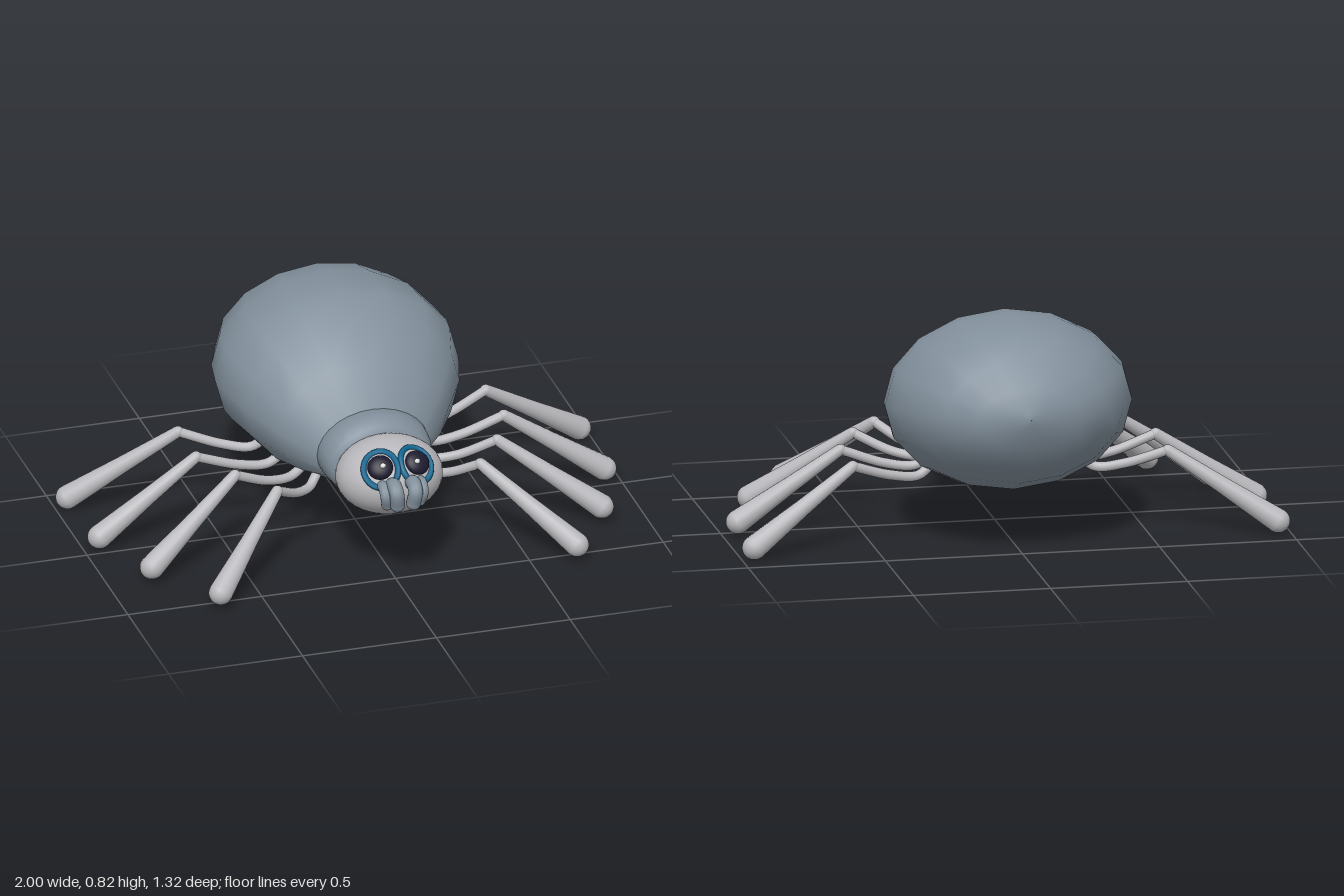
import * as THREE from 'three';

const mat = (name, color) => {
  const m = new THREE.MeshStandardMaterial({ color });
  m.name = name;
  return m;
};

const V = (x, y, z) => new THREE.Vector3(x, y, z);

// Closed body along z; each section is [z, bottom y, top y, half width]
function loft(sections, sides) {
  const pos = [], index = [];
  sections.forEach(([z, low, high, w]) => {
    for (let j = 0; j < sides; j++) {
      const a = (j / sides) * Math.PI * 2;
      pos.push(w * Math.cos(a), (low + high) / 2 + ((high - low) / 2) * Math.sin(a), z);
    }
  });
  for (let i = 0; i < sections.length - 1; i++) {
    for (let j = 0; j < sides; j++) {
      const k = (j + 1) % sides;
      const a = i * sides + j, b = i * sides + k, c = a + sides, d = b + sides;
      index.push(a, c, b, b, c, d);
    }
  }
  const g = new THREE.BufferGeometry();
  g.setAttribute('position', new THREE.Float32BufferAttribute(pos, 3));
  g.setIndex(index);
  g.computeVertexNormals();
  return g;
}

// Round-ended club from point a (radius ra) to point b (radius rb)
function club(a, b, ra, rb) {
  const len = a.distanceTo(b), pts = [];
  for (let i = 0; i <= 5; i++) {
    const t = -Math.PI / 2 + (i / 5) * Math.PI / 2;
    pts.push(new THREE.Vector2(ra * Math.cos(t), ra * Math.sin(t)));
  }
  pts.push(new THREE.Vector2(ra + (rb - ra) * 0.42, len * 0.5));
  for (let i = 0; i <= 6; i++) {
    const t = (i / 6) * Math.PI / 2;
    pts.push(new THREE.Vector2(rb * Math.cos(t), len + rb * Math.sin(t)));
  }
  const g = new THREE.LatheGeometry(pts, 16);
  const dir = b.clone().sub(a).normalize();
  g.applyQuaternion(new THREE.Quaternion().setFromUnitVectors(V(0, 1, 0), dir));
  return g.translate(a.x, a.y, a.z);
}

export function createModel() {
  const bodyGrey = mat('slate grey', 0x82909c);
  const paleGrey = mat('pale grey', 0xb9b9bd);
  const blue = mat('teal blue', 0x0d6590);
  const dark = mat('dark navy', 0x1c1a2e);
  const white = mat('white', 0xf4f4f6);

  const model = new THREE.Group();
  model.name = 'spider';
  const add = (parent, name, geometry, material) => {
    const mesh = new THREE.Mesh(geometry, material);
    mesh.name = name;
    parent.add(mesh);
    return mesh;
  };
  const ball = (parent, name, material, c, r, seg = 24) => {
    const mesh = add(parent, name, new THREE.SphereGeometry(1, seg, Math.round(seg * 0.7)), material);
    mesh.position.copy(c);
    mesh.scale.copy(r);
    return mesh;
  };

  // Abdomen
  add(model, 'abdomen', loft([
    [0.24, 0.38, 0.4, 0.01], [0.22, 0.255, 0.535, 0.21], [0.1, 0.21, 0.66, 0.315],
    [-0.03, 0.182, 0.78, 0.4], [-0.17, 0.178, 0.825, 0.44], [-0.24, 0.183, 0.826, 0.449],
    [-0.35, 0.203, 0.825, 0.43], [-0.47, 0.255, 0.8, 0.378], [-0.57, 0.33, 0.735, 0.3],
    [-0.635, 0.42, 0.645, 0.19], [-0.66, 0.515, 0.555, 0.02], [-0.661, 0.534, 0.536, 0.001],
  ], 16), bodyGrey);

  // Thorax collar
  add(model, 'thorax', loft([
    [0.35, 0.38, 0.39, 0.01], [0.345, 0.265, 0.485, 0.165], [0.32, 0.24, 0.52, 0.188],
    [0.28, 0.234, 0.543, 0.202], [0.22, 0.235, 0.543, 0.208], [0.15, 0.26, 0.52, 0.19],
    [0.1, 0.38, 0.39, 0.01],
  ], 28), bodyGrey);

  // Head
  const headC = V(0, 0.383, 0.42), headR = V(0.195, 0.138, 0.17);
  ball(model, 'head', paleGrey, headC, headR, 36);

  // Eyes: a rim following the head, a pupil and a glint
  const onHead = (p) => {
    const d = p.clone().sub(headC);
    return d.multiplyScalar(1 / d.clone().divide(headR).length()).add(headC);
  };
  for (const s of [1, -1]) {
    const eye = new THREE.Group();
    eye.name = s > 0 ? 'leftEye' : 'rightEye';
    model.add(eye);
    const rim = [];
    for (let i = 0; i < 28; i++) {
      const a = (s * i / 28) * Math.PI * 2;
      const u = 0.067 * Math.cos(a), v = 0.072 * Math.sin(a);
      rim.push(onHead(V(s * (0.073 + u * s), 0.462 + v * 0.74, 0.53 - v * 0.67)));
    }
    add(eye, 'eyeRim', new THREE.TubeGeometry(
      new THREE.CatmullRomCurve3(rim, true), 56, 0.011, 8, true), blue);
    const pupil = ball(eye, 'pupil', dark, V(s * 0.069, 0.472, 0.538), V(0.046, 0.045, 0.022));
    pupil.rotation.set(-0.75, s * 0.2, 0);
    ball(eye, 'glint', white, V(s * 0.064, 0.487, 0.556), V(0.011, 0.01, 0.008), 12);
  }

  // Mouthparts: thick inner fangs and slim outer palps
  const limbs = [
    ['fang', 0.027, [[0.036, 0.4, 0.55], [0.036, 0.424, 0.6], [0.035, 0.405, 0.631], [0.03, 0.357, 0.622]]],
    ['palp', 0.021, [[0.07, 0.4, 0.54], [0.07, 0.415, 0.585], [0.069, 0.39, 0.61], [0.062, 0.352, 0.598]]],
  ];
  for (const s of [1, -1]) {
    for (const [name, r, pts] of limbs) {
      const path = pts.map(([x, y, z]) => V(s * x, y, z));
      add(model, name, new THREE.TubeGeometry(new THREE.CatmullRomCurve3(path), 20, r, 12), bodyGrey);
      ball(model, name + 'Tip', bodyGrey, path[3], V(r, r, r), 14);
    }
  }

  // Legs: [hook, knee, foot] from front to back
  const legs = [
    [[0.185, 0.265, 0.13], [0.38, 0.308, 0.295], [0.665, 0.06, 0.54]],
    [[0.21, 0.26, 0.04], [0.49, 0.313, 0.138], [0.84, 0.06, 0.27]],
    [[0.25, 0.27, -0.07], [0.575, 0.305, -0.06], [0.943, 0.052, -0.035]],
    [[0.27, 0.275, -0.2], [0.575, 0.3, -0.282], [0.955, 0.046, -0.385]],
  ];
  for (const s of [1, -1]) {
    legs.forEach(([h, k, f], i) => {
      const leg = new THREE.Group();
      leg.name = (s > 0 ? 'leftLeg' : 'rightLeg') + (i + 1);
      model.add(leg);
      const [hook, knee, foot] = [h, k, f].map(([x, y, z]) => V(s * x, y, z));
      const low = hook.clone().lerp(knee, 0.17).setY(0.237);
      const mid = hook.clone().lerp(knee, 0.5).setY(0.249);
      const path = new THREE.CatmullRomCurve3([hook, low, mid, knee]);
      add(leg, 'upperLeg', new THREE.TubeGeometry(path, 24, 0.018, 12), paleGrey);
      ball(leg, 'hip', paleGrey, hook, V(0.018, 0.018, 0.018), 12);
      add(leg, 'lowerLeg', club(knee, foot, 0.021, 0.044), paleGrey);
    });
  }
  return model;
}
